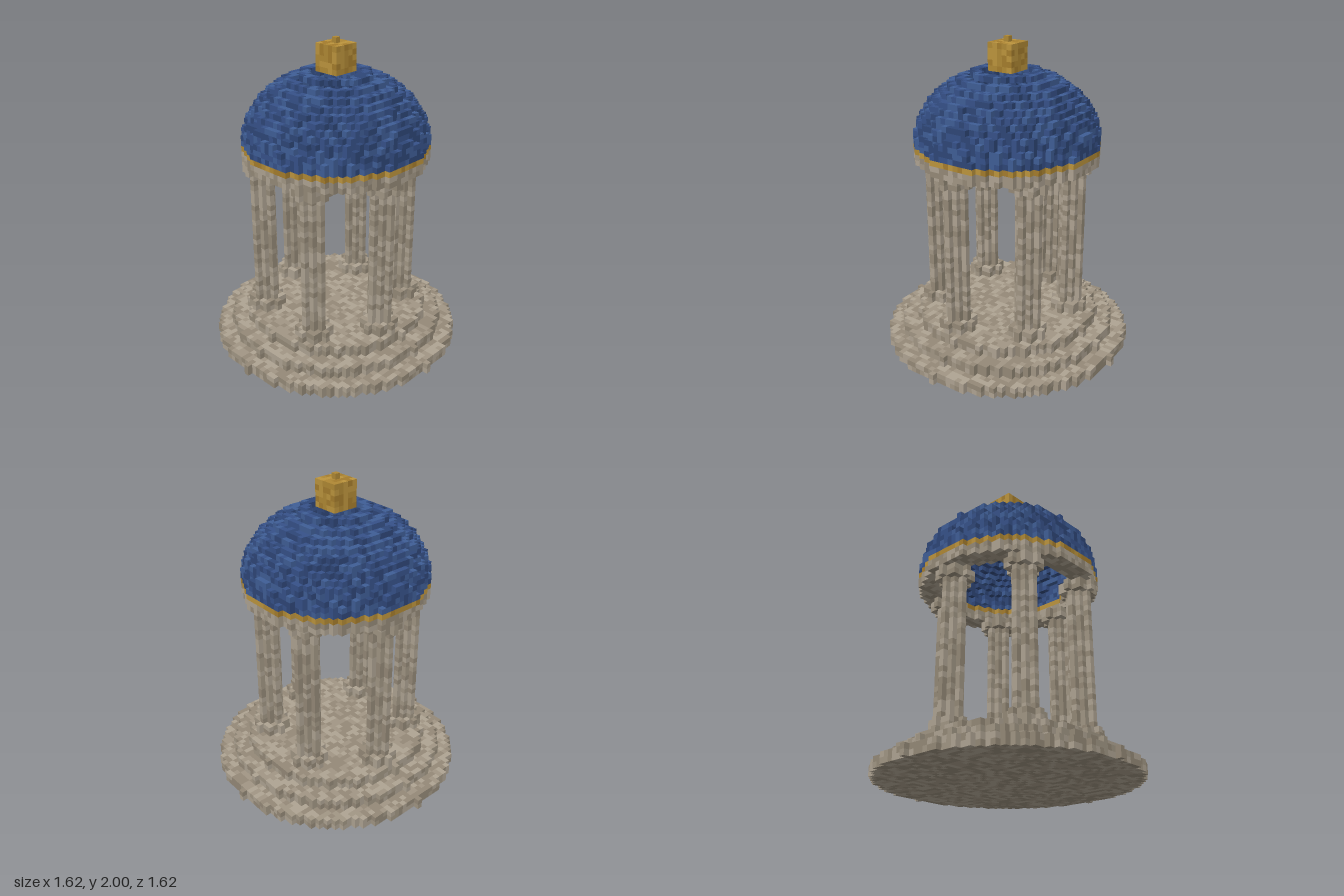
import * as THREE from 'three';

const S = 2 / 58; // edge of one block

const PALETTE = {
  stone: [0xaea392, 0xa19684, 0x948977],
  blue: [0x3f5e96, 0x365189, 0x2e4677],
  gold: [0xbc943d, 0xaf8834, 0xa47c2c],
};

// Face directions with two tangents, u x v = normal
const FACES = [
  [[1, 0, 0], [0, 1, 0], [0, 0, 1]], [[-1, 0, 0], [0, 0, 1], [0, 1, 0]],
  [[0, 1, 0], [0, 0, 1], [1, 0, 0]], [[0, -1, 0], [1, 0, 0], [0, 0, 1]],
  [[0, 0, 1], [1, 0, 0], [0, 1, 0]], [[0, 0, -1], [0, 1, 0], [1, 0, 0]],
];

const key = (x, y, z) => `${x},${y},${z}`;

// Repeatable shade choice per block
function shadeOf(x, y, z) {
  let h = Math.imul(x + 97, 73856093) ^ Math.imul(y + 31, 19349663) ^ Math.imul(z + 57, 83492791);
  h = Math.imul(h ^ (h >>> 13), 1274126177);
  return ((h ^ (h >>> 16)) >>> 0) % 3;
}

export function createModel() {
  const filled = new Set();
  const parts = [];

  function part(name, colour, fill) {
    const cells = [];
    fill((x, y, z) => {
      const k = key(x, y, z);
      if (!filled.has(k)) {
        filled.add(k);
        cells.push([x, y, z]);
      }
    });
    parts.push({ name, colour, cells });
  }

  // Round layers of blocks from y0 up to y1; a negative inner radius means solid
  function ring(put, cx, cz, y0, y1, outer, inner = -1) {
    const n = Math.ceil(outer);
    for (let y = y0; y < y1; y++)
      for (let x = -n; x <= n; x++)
        for (let z = -n; z <= n; z++) {
          const d = Math.hypot(x, z);
          if (d <= outer && d > inner) put(cx + x, y, cz + z);
        }
  }

  // Three round steps
  [23, 20, 17].forEach((r, i) =>
    part(`step${i + 1}`, 'stone', put => ring(put, 0, 0, i * 2, i * 2 + 2, r)));

  // Six fluted columns with base and capital
  const spots = [[-2, 13], [10, 8], [11, -5], [1, -13], [-11, -8], [-12, 6]];
  spots.forEach(([x, z], i) => {
    part(`columnBase${i + 1}`, 'stone', put => ring(put, x, z, 6, 8, 3));
    part(`columnShaft${i + 1}`, 'stone', put => ring(put, x, z, 8, 34, 2));
    part(`columnCapital${i + 1}`, 'stone', put => ring(put, x, z, 34, 36, 3));
  });

  // Ring beam and gilded band
  part('ringBeam', 'stone', put => ring(put, 0, 0, 36, 38, 16.5, 12.5));
  part('goldBand', 'gold', put => ring(put, 0, 0, 38, 39, 16.5, 12.5));

  // Hollow dome shell
  part('dome', 'blue', put => {
    for (let j = 0; j < 13; j++) {
      const r = 16.5 * Math.sqrt(1 - (j / 13) ** 2);
      ring(put, 0, 0, 39 + j, 40 + j, r, r - 1.6);
    }
  });

  // Finial cube and its tip
  part('finial', 'gold', put => {
    for (let x = -2; x <= 2; x++)
      for (let y = 52; y < 57; y++)
        for (let z = -2; z <= 2; z++) put(x, y, z);
  });
  part('finialTip', 'gold', put => put(0, 57, 0));

  // Visible block faces, one mesh per shade
  const materials = {};
  for (const c in PALETTE)
    materials[c] = PALETTE[c].map(color => new THREE.MeshStandardMaterial({ color }));

  const model = new THREE.Group();
  model.name = 'domedPavilion';
  for (const { name, colour, cells } of parts) {
    const group = new THREE.Group();
    group.name = name;
    const buffers = [0, 1, 2].map(() => ({ pos: [], nor: [], idx: [] }));
    for (const [x, y, z] of cells) {
      const b = buffers[shadeOf(x, y, z)];
      for (const [n, u, v] of FACES) {
        if (filled.has(key(x + n[0], y + n[1], z + n[2]))) continue;
        const start = b.pos.length / 3;
        const centre = [x, y + 0.5, z];
        for (const [a, c] of [[-1, -1], [1, -1], [1, 1], [-1, 1]]) {
          for (let k = 0; k < 3; k++)
            b.pos.push((centre[k] + (n[k] + a * u[k] + c * v[k]) / 2) * S);
          b.nor.push(...n);
        }
        b.idx.push(start, start + 1, start + 2, start, start + 2, start + 3);
      }
    }
    buffers.forEach((b, i) => {
      if (!b.idx.length) return;
      const geo = new THREE.BufferGeometry();
      geo.setAttribute('position', new THREE.Float32BufferAttribute(b.pos, 3));
      geo.setAttribute('normal', new THREE.Float32BufferAttribute(b.nor, 3));
      geo.setIndex(b.idx);
      const mesh = new THREE.Mesh(geo, materials[colour][i]);
      mesh.name = `${name}Shade${i + 1}`;
      group.add(mesh);
    });
    model.add(group);
  }
  return model;
}
